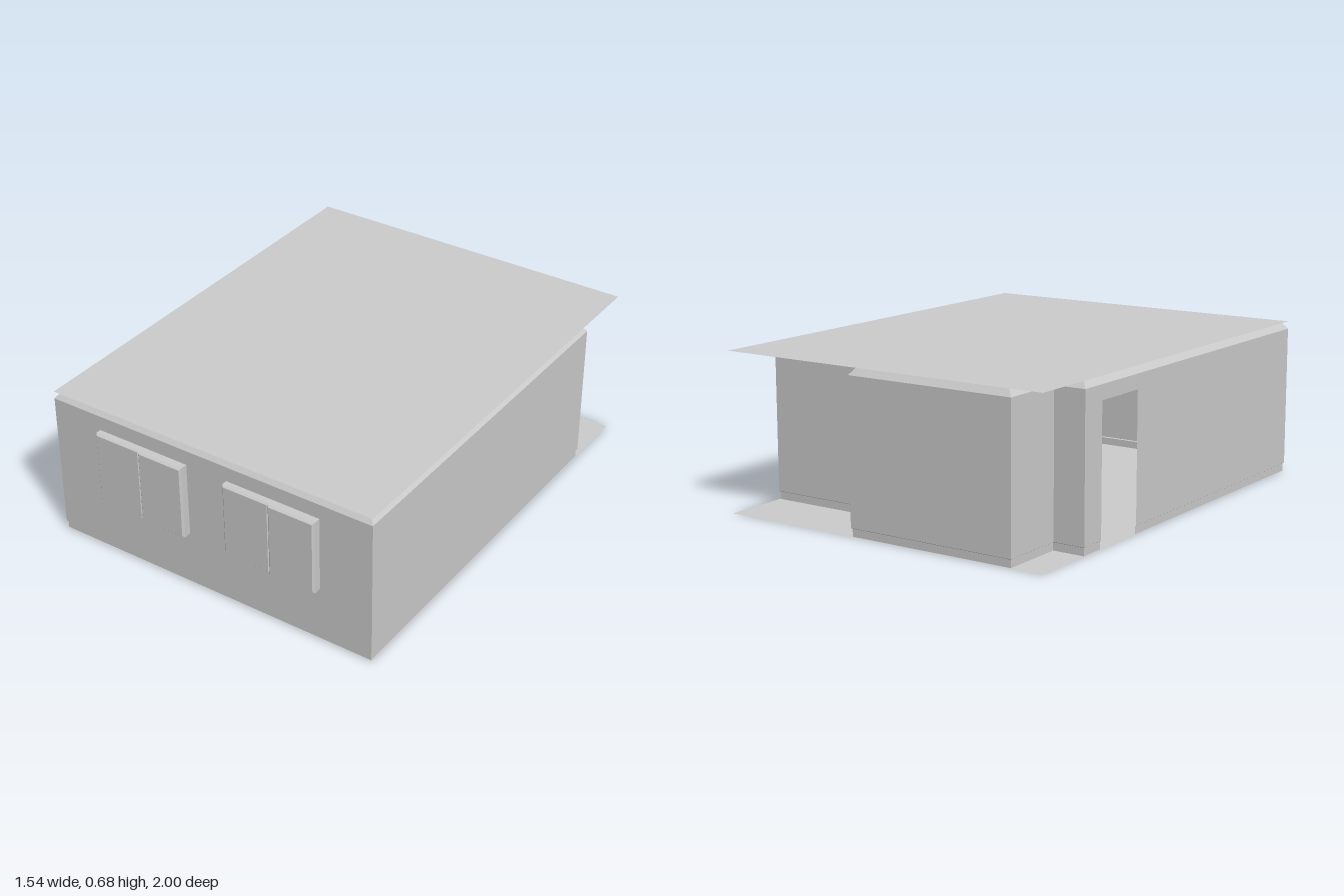
import * as THREE from 'three';

const material = new THREE.MeshStandardMaterial({ color: 0xcccccc, flatShading: true, side: THREE.DoubleSide });

const HALF_WIDTH = 0.77, FRONT = 0.96, BACK = -1, REAR_WALL = -0.715;
const HEIGHT = 0.683;

// Wall outline [x, z], counter-clockwise seen from above; the last-but-one edge holds the door
const footprint = [
  [-HALF_WIDTH, FRONT], [HALF_WIDTH, FRONT], [HALF_WIDTH, REAR_WALL],
  [0.14, REAR_WALL], [0.14, BACK], [-0.63, BACK], [-0.63, REAR_WALL],
  [-HALF_WIDTH, REAR_WALL], [-HALF_WIDTH, -0.595], [-HALF_WIDTH, -0.335],
];
const DOOR_EDGE = 8;

// Wall profile [y, inset]: recessed plinth, upright wall, chamfered top
const wallProfile = [[0, 0.005], [0.033, 0.005], [0.036, 0], [0.65, 0], [HEIGHT, 0.025]];
const lintelProfile = [[0.587, 0], [0.65, 0], [HEIGHT, 0.025]];

function inwardNormal(i) {
  const n = footprint.length;
  const a = footprint[(i + n) % n], b = footprint[(i + 1) % n];
  const dx = b[0] - a[0], dz = b[1] - a[1], length = Math.hypot(dx, dz);
  return [dz / length, -dx / length];
}

// Outline corner i at height y, moved inwards with mitred corners
function corner(i, [y, inset]) {
  const k = i % footprint.length;
  const p = inwardNormal(k - 1), q = inwardNormal(k);
  const straight = p[0] * q[0] + p[1] * q[1] > 0.5;
  const mx = straight ? q[0] : p[0] + q[0];
  const mz = straight ? q[1] : p[1] + q[1];
  return [footprint[k][0] + mx * inset, y, footprint[k][1] + mz * inset];
}

function wallGeometry() {
  const positions = [];
  footprint.forEach((_, i) => {
    const profile = i === DOOR_EDGE ? lintelProfile : wallProfile;
    for (let j = 0; j < profile.length - 1; j++) {
      const a = corner(i, profile[j]), b = corner(i + 1, profile[j]);
      const c = corner(i + 1, profile[j + 1]), d = corner(i, profile[j + 1]);
      positions.push(...a, ...b, ...c, ...a, ...c, ...d);
    }
  });
  const geometry = new THREE.BufferGeometry();
  geometry.setAttribute('position', new THREE.Float32BufferAttribute(positions, 3));
  geometry.computeVertexNormals();
  return geometry;
}

function addMesh(parent, name, geometry) {
  const mesh = new THREE.Mesh(geometry, material);
  mesh.name = name;
  parent.add(mesh);
  return mesh;
}

// Thin horizontal sheet covering the whole plan
function addSheet(parent, name, y) {
  const geometry = new THREE.PlaneGeometry(2 * HALF_WIDTH, FRONT - BACK).rotateX(-Math.PI / 2);
  addMesh(parent, name, geometry).position.set(0, y, (FRONT + BACK) / 2);
}

// Window sash with a bevelled front edge
function sashGeometry(width, height, depth) {
  const bevel = 0.008;
  const w = width / 2 - bevel, h = height / 2 - bevel;
  const shape = new THREE.Shape([
    new THREE.Vector2(-w, -h), new THREE.Vector2(w, -h),
    new THREE.Vector2(w, h), new THREE.Vector2(-w, h),
  ]);
  return new THREE.ExtrudeGeometry(shape, {
    depth: depth, bevelEnabled: true, bevelThickness: bevel, bevelSize: bevel, bevelSegments: 1,
  }).translate(0, 0, -bevel);
}

// Sliding window: two sashes, the one on +x standing slightly proud
function createWindow(name, x) {
  const window = new THREE.Group();
  window.name = name;
  addMesh(window, 'rearSash', sashGeometry(0.222, 0.335, 0.032)).position.x = -0.107;
  addMesh(window, 'frontSash', sashGeometry(0.216, 0.335, 0.04)).position.x = 0.11;
  window.position.set(x, 0.417, FRONT);
  return window;
}

export function createModel() {
  const house = new THREE.Group();
  house.name = 'house';
  addSheet(house, 'floor', 0);
  addSheet(house, 'roof', HEIGHT);
  addMesh(house, 'walls', wallGeometry());
  house.add(createWindow('rightWindow', -0.317), createWindow('leftWindow', 0.313));
  return house;
}
